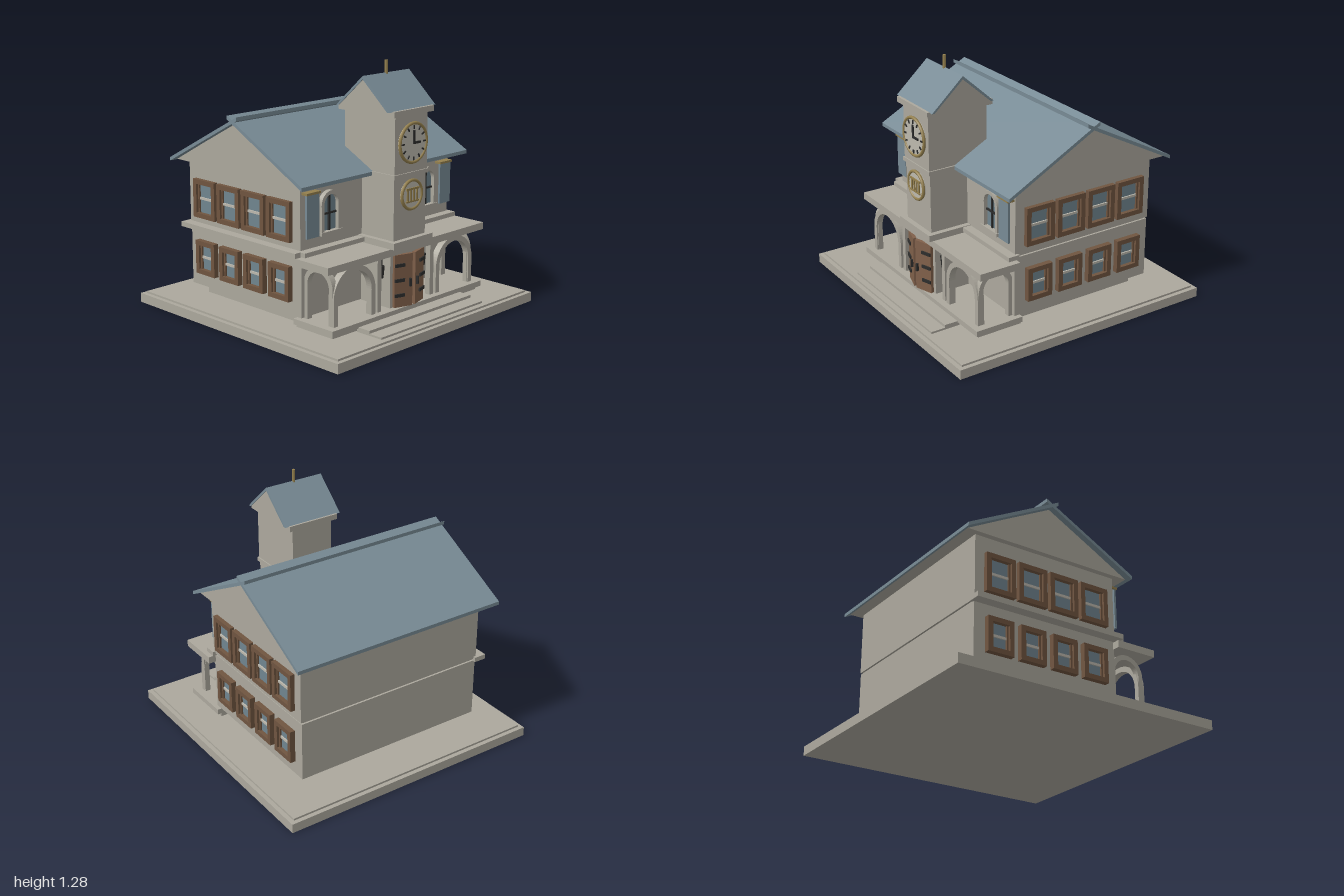
import * as THREE from 'three';

const mat = (name, color) => Object.assign(new THREE.MeshStandardMaterial({ color }), { name });

export function createModel() {
  const stone = mat('stone', 0xaca89d), roofBlue = mat('roof slate', 0x788b95);
  const wood = mat('window wood', 0x705540), doorWood = mat('door wood', 0x80604a);
  const glass = mat('glass', 0x70858f), gold = mat('gold', 0x94804e);
  const black = mat('black iron', 0x2d2d2c), pale = mat('pale trim', 0xbdb9ae);

  const root = new THREE.Group();
  root.name = 'townHall';
  const hall = new THREE.Group(); // built square to the axes, then turned by 45 degrees
  hall.name = 'hall';
  hall.rotation.y = Math.PI / 4;
  root.add(hall);

  const add = (parent, name, geo, m, x = 0, y = 0, z = 0) => {
    const mesh = new THREE.Mesh(geo, m);
    mesh.name = name;
    mesh.position.set(x, y, z);
    parent.add(mesh);
    return mesh;
  };
  // box given by its ranges on each axis
  const box = (parent, name, m, x0, x1, y0, y1, z0, z1) => add(parent, name,
    new THREE.BoxGeometry(x1 - x0, y1 - y0, z1 - z0), m, (x0 + x1) / 2, (y0 + y1) / 2, (z0 + z1) / 2);
  // side profile of [z, y] points carried along x
  const prism = (name, m, pts, half) => {
    const s = new THREE.Shape(pts.map(([z, y]) => new THREE.Vector2(-z, y)));
    const g = new THREE.ExtrudeGeometry(s, { depth: half * 2, bevelEnabled: false });
    return add(hall, name, g.translate(0, 0, -half).rotateY(Math.PI / 2), m);
  };
  // outline of a round-headed opening standing on y = 0
  const archPath = (P, w, h) => {
    const r = w / 2, p = new P();
    p.moveTo(-r, 0);
    p.lineTo(r, 0);
    p.lineTo(r, h - r);
    p.absarc(0, h - r, r, 0, Math.PI, false);
    p.lineTo(-r, 0);
    return p;
  };
  // thin arch rib with open legs
  const archRib = (w, h, t, depth) => {
    const r = w / 2, s = new THREE.Shape();
    s.moveTo(r - t, 0);
    s.lineTo(r, 0);
    s.lineTo(r, h - r);
    s.absarc(0, h - r, r, 0, Math.PI, false);
    s.lineTo(-r, 0);
    s.lineTo(-r + t, 0);
    s.lineTo(-r + t, h - r);
    s.absarc(0, h - r, r - t, Math.PI, 0, true);
    return new THREE.ExtrudeGeometry(s, { depth, bevelEnabled: false, curveSegments: 16 }).translate(0, 0, -depth / 2);
  };

  // ground slab, porch floor and steps
  const R = Math.SQRT1_2;
  box(hall, 'groundSlab', stone, -R, R, 0, 0.048, -R, R);
  box(hall, 'paving', stone, -0.685, 0.685, 0.048, 0.058, -0.685, 0.685);
  box(hall, 'foundation', stone, -0.47, 0.47, 0.058, 0.11, -0.45, 0.25);
  box(hall, 'porchFloor', stone, -0.54, 0.54, 0.076, 0.104, 0.25, 0.51);
  box(hall, 'porchBase', stone, -0.52, 0.52, 0.058, 0.076, 0.25, 0.49);
  box(hall, 'upperStep', stone, -0.37, 0.37, 0.058, 0.082, 0.5, 0.58);
  box(hall, 'lowerStep', stone, -0.37, 0.37, 0.058, 0.068, 0.58, 0.655);

  // main walls and ledges
  box(hall, 'lowerWalls', stone, -0.52, 0.52, 0.108, 0.415, -0.51, 0.285);
  box(hall, 'upperWalls', stone, -0.525, 0.525, 0.425, 0.75, -0.51, 0.285);
  box(hall, 'wallJoint', stone, -0.51, 0.51, 0.41, 0.43, -0.5, 0.275);
  box(hall, 'frontLedge', stone, -0.54, 0.54, 0.415, 0.437, 0.27, 0.33);
  box(hall, 'sideLedge', stone, -0.575, -0.51, 0.412, 0.437, -0.525, 0.3);

  // main roof: two slabs that cross above the ridge
  const zc = -0.113;
  prism('gables', stone, [[-0.57, 0.748], [0.344, 0.748], [zc, 0.993]], 0.555);
  for (const s of [-1, 1]) {
    prism('roofSlope', roofBlue, [[zc + s * 0.473, 0.742], [zc + s * 0.473, 0.76],
      [zc - s * 0.034, 1.026], [zc - s * 0.034, 1.008]], 0.587);
  }

  // gable windows, four on each floor at both ends
  const sashWindow = (w, h) => {
    const g = new THREE.Group(), t = 0.024;
    g.name = 'sashWindow';
    for (const s of [-1, 1]) {
      box(g, 'jamb', wood, s * (w / 2 - t / 2) - t / 2, s * (w / 2 - t / 2) + t / 2, -h / 2, h / 2, 0, 0.03);
      box(g, 'rail', wood, -w / 2 + t, w / 2 - t, s * (h / 2 - t / 2) - t / 2, s * (h / 2 - t / 2) + t / 2, 0, 0.03);
      box(g, 'innerJamb', wood, s * (w / 2 - t - 0.005) - 0.005, s * (w / 2 - t - 0.005) + 0.005, -h / 2 + t, h / 2 - t, 0, 0.018);
    }
    box(g, 'pane', glass, -w / 2 + t, w / 2 - t, -h / 2 + t, h / 2 - t, 0, 0.009);
    box(g, 'middleBar', pale, -w / 2 + t, w / 2 - t, -0.006, 0.006, 0.009, 0.016);
    return g;
  };
  for (const s of [-1, 1]) for (let i = 0; i < 4; i++) {
    for (const [w, h, y] of [[0.16, 0.195, 0.567], [0.14, 0.172, 0.264]]) {
      const win = sashWindow(w, h);
      win.position.set(s * 0.518, y, zc + (i - 1.5) * 0.178);
      win.rotation.y = s * Math.PI / 2;
      hall.add(win);
    }
  }

  // front upper floor: arched windows and hanging banners
  for (const s of [-1, 1]) {
    const g = new THREE.Group();
    g.name = 'archedWindow';
    g.position.set(s * 0.345, 0.5, 0.285);
    hall.add(g);
    add(g, 'windowPane', new THREE.ShapeGeometry(archPath(THREE.Shape, 0.11, 0.19)), glass, 0, 0, 0.004);
    add(g, 'windowArch', archRib(0.13, 0.2, 0.018, 0.03), stone, 0, 0, 0.01);
    box(g, 'sill', stone, -0.07, 0.07, -0.01, 0.006, 0, 0.03);
    box(g, 'mullion', black, -0.005, 0.005, 0, 0.18, 0.004, 0.012);
    box(g, 'crossBar', black, -0.05, 0.05, 0.085, 0.094, 0.004, 0.012);
    const c = s * 0.472;
    box(hall, 'banner', roofBlue, c - 0.04, c + 0.04, 0.495, 0.705, 0.305, 0.316);
    box(hall, 'bannerRod', gold, c - 0.045, c + 0.045, 0.703, 0.714, 0.285, 0.322);
  }

  // porch: roof slab, front arches and side arches
  box(hall, 'porchRoof', stone, -0.56, 0.56, 0.372, 0.408, 0.28, 0.5);
  for (const s of [-1, 1]) {
    add(hall, 'frontArch', archRib(0.28, 0.268, 0.026, 0.035), stone, s * 0.36, 0.104, 0.46);
    add(hall, 'sideArch', archRib(0.19, 0.268, 0.024, 0.03), stone, s * 0.485, 0.104, 0.375).rotation.y = Math.PI / 2;
    box(hall, 'doorPillar', stone, s * 0.19 - 0.013, s * 0.19 + 0.013, 0.104, 0.372, 0.445, 0.475);
    add(hall, 'lantern', new THREE.CylinderGeometry(0.016, 0.01, 0.06, 8), black, s * 0.15, 0.29, 0.45);
    box(hall, 'lanternStem', black, s * 0.15 - 0.003, s * 0.15 + 0.003, 0.31, 0.372, 0.447, 0.453);
  }

  // tower
  box(hall, 'entranceWalls', stone, -0.115, 0.115, 0.104, 0.372, 0.28, 0.475);
  box(hall, 'towerFoot', stone, -0.14, 0.14, 0.408, 0.44, 0.2, 0.52);
  box(hall, 'towerLower', stone, -0.113, 0.113, 0.43, 0.745, 0.18, 0.492);
  box(hall, 'towerBand', stone, -0.122, 0.122, 0.742, 0.762, 0.172, 0.503);
  box(hall, 'towerUpper', stone, -0.115, 0.115, 0.76, 1.045, 0.172, 0.497);
  box(hall, 'towerCornice', stone, -0.14, 0.14, 1.04, 1.068, 0.155, 0.515);

  // tower roof with gables to the sides
  prism('towerGables', stone, [[0.175, 1.066], [0.49, 1.066], [0.333, 1.21]], 0.158);
  for (const s of [-1, 1]) {
    prism('towerRoofSlope', roofBlue, [[0.333 + s * 0.17, 1.066], [0.333 + s * 0.155, 1.066],
      [0.333, 1.204], [0.333, 1.22]], 0.163);
  }
  add(hall, 'finial', new THREE.CylinderGeometry(0.008, 0.008, 0.07, 10), gold, 0, 1.245, 0.333);

  // clock, reading three o'clock
  const dial = (name, r, y, z) => {
    const g = new THREE.Group();
    g.name = name;
    g.position.set(0, y, z);
    hall.add(g);
    add(g, 'face', new THREE.CylinderGeometry(r, r, 0.016, 32).rotateX(Math.PI / 2), pale, 0, 0, 0.006);
    add(g, 'ring', new THREE.TorusGeometry(r, 0.008, 8, 36), gold, 0, 0, 0.012);
    return g;
  };
  const clock = dial('clock', 0.094, 0.905, 0.497);
  for (let i = 0; i < 12; i++) {
    const a = i * Math.PI / 6;
    add(clock, 'hourMark', new THREE.BoxGeometry(0.007, 0.018, 0.005), black,
      Math.sin(a) * 0.075, Math.cos(a) * 0.075, 0.016).rotation.z = -a;
  }
  box(clock, 'minuteHand', black, -0.005, 0.005, -0.006, 0.06, 0.014, 0.02);
  box(clock, 'hourHand', black, -0.005, 0.045, -0.006, 0.005, 0.014, 0.02);

  // round medallion with a small row of columns
  const medal = dial('medallion', 0.07, 0.653, 0.492);
  box(medal, 'medallionBase', gold, -0.045, 0.045, -0.036, -0.028, 0.012, 0.02);
  box(medal, 'medallionBeam', gold, -0.045, 0.045, 0.024, 0.034, 0.012, 0.02);
  for (const x of [-0.033, -0.011, 0.011, 0.033]) {
    box(medal, 'medallionColumn', gold, x - 0.005, x + 0.005, -0.028, 0.024, 0.012, 0.019);
  }

  // double doors standing ajar, with iron straps
  for (const s of [-1, 1]) {
    const leaf = new THREE.Group();
    leaf.name = 'doorLeaf';
    leaf.position.set(s * 0.1, 0.108, 0.478);
    leaf.rotation.y = s * 0.3;
    hall.add(leaf);
    const side = (name, m, a, b, ...rest) => box(leaf, name, m, Math.min(-s * a, -s * b), Math.max(-s * a, -s * b), ...rest);
    side('doorPanel', doorWood, 0, 0.1, 0, 0.262, 0, 0.018);
    for (const y of [0.06, 0.135, 0.21]) side('doorStrap', black, 0, 0.055, y - 0.008, y + 0.008, 0.018, 0.025);
    side('doorHandle', black, 0.08, 0.09, 0.1, 0.14, 0.018, 0.03);
  }
  return root;
}
